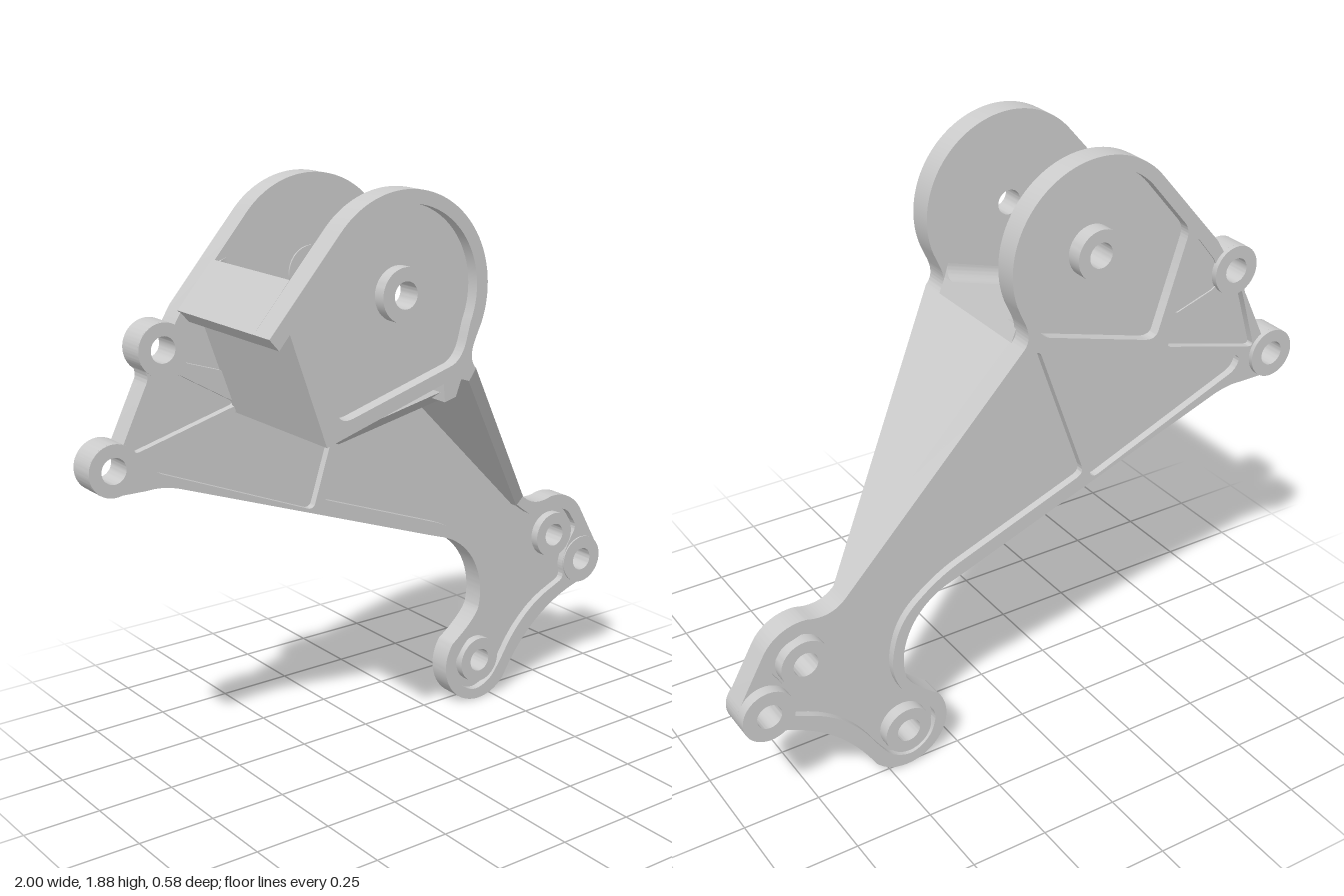
import * as THREE from 'three';
import { toCreasedNormals } from 'three/addons/utils/BufferGeometryUtils.js';

const material = new THREE.MeshStandardMaterial({ color: 0xcccccc });
const BACK = -0.26, FACE = -0.185, EAR_IN = 0.21, EAR_OUT = 0.29;
const EAR = [-0.235, 1.59];
const HOLE = 0.04;

function add(group, name, geometry) {
  const mesh = new THREE.Mesh(toCreasedNormals(geometry, 0.5), material);
  mesh.name = name;
  group.add(mesh);
  return mesh;
}

// Extrude a shape between two z planes
function slab(group, name, shape, z0, z1) {
  const g = new THREE.ExtrudeGeometry(shape, { depth: z1 - z0, bevelEnabled: false, curveSegments: 24 });
  return add(group, name, g.translate(0, 0, z0));
}

// Closed polygon with softened corners: [x, y, cornerLength]
function rounded(points) {
  const s = new THREE.Shape();
  points.forEach(([x, y, r = 0.025], i) => {
    const c = new THREE.Vector2(x, y);
    const toward = ([px, py]) => {
      const d = new THREE.Vector2(px - x, py - y);
      return c.clone().addScaledVector(d, Math.min(r / d.length(), 0.48));
    };
    const a = toward(points.at(i - 1)), b = toward(points[(i + 1) % points.length]);
    if (i === 0) s.moveTo(a.x, a.y); else s.lineTo(a.x, a.y);
    s.quadraticCurveTo(x, y, b.x, b.y);
  });
  s.closePath();
  return s;
}

const polygon = (pts) => new THREE.Shape(pts.map(([x, y]) => new THREE.Vector2(x, y)));
const circle = (x, y, r) => new THREE.Shape().absarc(x, y, r, 0, Math.PI * 2, false);

function withHoles(shape, holes) {
  const s = new THREE.Shape(shape.getPoints(24));
  s.holes.push(...holes);
  return s;
}

// Upright plate along p-q; its profile is given as [distance, z]
function gusset(group, name, p, q, thickness, profile) {
  const d = new THREE.Vector3(q[0] - p[0], q[1] - p[1], 0).normalize();
  const z = new THREE.Vector3(0, 0, 1);
  const g = new THREE.ExtrudeGeometry(polygon(profile), { depth: thickness, bevelEnabled: false });
  const m = new THREE.Matrix4().makeBasis(d, z, d.clone().cross(z)).setPosition(p[0], p[1], 0);
  add(group, name, g.applyMatrix4(m));
}

// Rounded channel lining between the two ears along p-q
function channel(group, name, p, q, r = 0.045) {
  const d = new THREE.Vector3(q[0] - p[0], q[1] - p[1], 0);
  const length = d.length();
  d.normalize();
  const s = new THREE.Shape();
  s.moveTo(-0.01, FACE - 0.005);
  s.lineTo(r, FACE - 0.005);
  s.lineTo(r, FACE);
  s.absarc(r, FACE + r, r, -Math.PI / 2, -Math.PI, true);
  s.lineTo(0, EAR_IN - r);
  s.absarc(r, EAR_IN - r, r, Math.PI, Math.PI / 2, true);
  s.lineTo(r, EAR_IN + 0.005);
  s.lineTo(-0.01, EAR_IN + 0.005);
  const g = new THREE.ExtrudeGeometry(s, { depth: length, bevelEnabled: false, curveSegments: 6 });
  const m = new THREE.Matrix4().makeBasis(new THREE.Vector3(-d.y, d.x, 0), new THREE.Vector3(0, 0, 1), d);
  add(group, name, g.applyMatrix4(m.setPosition(p[0], p[1], 0)));
}

function plateOutline() {
  const s = new THREE.Shape();
  s.absarc(0.91, 0.42, 0.085, -1.1, 0.5, false);
  s.absarc(0.775, 0.54, 0.145, 0.5, 1.7, false);
  s.quadraticCurveTo(0.68, 0.66, 0.63, 0.71);
  s.lineTo(0.02, 1.345);
  s.quadraticCurveTo(-0.01, 1.375, 0.015, 1.43);
  s.absarc(...EAR, 0.295, -0.387, 2.417, false);
  s.lineTo(-0.68, 1.53);
  s.absarc(-0.75, 1.42, 0.08, 1.0, 3.6, false);
  s.quadraticCurveTo(-0.79, 1.35, -0.81, 1.32);
  s.absarc(-0.925, 1.09, 0.08, 1.1, 4.9, false);
  s.lineTo(-0.82, 1.01);
  s.quadraticCurveTo(-0.77, 1.015, -0.71, 0.995);
  s.lineTo(0.22, 0.655);
  s.absarc(0.2, 0.405, 0.243, 1.2, -0.25, true);
  s.quadraticCurveTo(0.415, 0.3, 0.324, 0.237);
  s.absarc(0.44, 0.15, 0.145, 2.5, 5.58, false);
  s.quadraticCurveTo(0.68, 0.28, 0.9, 0.335);
  s.closePath();
  return s;
}

function frontEarOutline() {
  const s = new THREE.Shape();
  s.absarc(...EAR, 0.295, -0.387, 2.417, false);
  [[-0.69, 1.525], [-0.66, 1.49], [-0.625, 1.53], [-0.51, 1.195], [-0.1, 1.315], [-0.095, 1.26],
    [-0.055, 1.27], [-0.035, 1.32], [-0.005, 1.31], [0.02, 1.345]].forEach(([x, y]) => s.lineTo(x, y));
  s.quadraticCurveTo(-0.01, 1.375, 0.015, 1.43);
  s.closePath();
  return s;
}

function earPocket() {
  const s = new THREE.Shape();
  s.moveTo(-0.42, 1.265);
  s.lineTo(-0.07, 1.365);
  s.quadraticCurveTo(-0.03, 1.38, -0.015, 1.44);
  s.absarc(...EAR, 0.255, -0.42, 2.417, false);
  s.lineTo(-0.55, 1.615);
  s.quadraticCurveTo(-0.57, 1.59, -0.56, 1.56);
  s.lineTo(-0.47, 1.28);
  s.quadraticCurveTo(-0.46, 1.255, -0.42, 1.265);
  return s;
}

export function createModel() {
  const model = new THREE.Group();
  model.name = 'bracket';

  // Pockets in the back plate
  const armPocket = rounded([
    [-0.035, 1.335, 0.03], [0, 1.31, 0.02], [0.6, 0.685, 0.05], [0.68, 0.625, 0.04], [0.76, 0.645], [0.84, 0.62],
    [0.885, 0.55], [0.84, 0.48], [0.82, 0.42], [0.83, 0.365], [0.7, 0.31, 0.08], [0.6, 0.22, 0.08],
    [0.53, 0.11, 0.04], [0.49, 0.06, 0.04], [0.42, 0.035, 0.04], [0.35, 0.08, 0.04], [0.33, 0.16, 0.03],
    [0.37, 0.22, 0.03], [0.45, 0.29, 0.05], [0.49, 0.4, 0.08], [0.45, 0.56, 0.08], [0.31, 0.67, 0.08],
    [-0.21, 0.865, 0.03]]);
  const middlePocket = rounded([[-0.075, 1.335], [-0.81, 1.105], [-0.79, 1.06], [-0.24, 0.835]]);
  const upperPocket = rounded([[-0.68, 1.46], [-0.595, 1.565], [-0.525, 1.32], [-0.69, 1.375]]);
  const lowerPocket = rounded([[-0.79, 1.345], [-0.71, 1.345], [-0.5, 1.22], [-0.86, 1.125]]);
  const rearEarPocket = earPocket();

  // Bosses: x, y, radius, back z
  const edgeBosses = [[-0.925, 1.09, 0.08, -0.275], [-0.75, 1.42, 0.08, -0.275], [0.91, 0.42, 0.085, -0.295]];
  const innerBosses = [[0.775, 0.54, 0.08, -0.275], [0.44, 0.15, 0.08, -0.275], [...EAR, 0.08, -0.275]];
  const bore = ([x, y]) => circle(x, y, HOLE);
  [...edgeBosses, ...innerBosses].forEach((b) => {
    slab(model, 'boss', withHoles(circle(b[0], b[1], b[2]), [bore(b)]), b[3], FACE + 0.005);
  });

  // Back plate: full-depth rim and ribs, thin webs inside the pockets
  const pockets = [armPocket, middlePocket, upperPocket, lowerPocket, rearEarPocket];
  slab(model, 'plateRim', withHoles(plateOutline(), [...pockets, ...edgeBosses.map(bore)]), BACK, FACE);
  slab(model, 'armWeb', withHoles(armPocket, innerBosses.slice(0, 2).map(bore)), -0.235, -0.21);
  slab(model, 'middleWeb', middlePocket, -0.235, -0.21);
  slab(model, 'upperWeb', upperPocket, -0.255, -0.21);
  slab(model, 'lowerWeb', lowerPocket, -0.235, -0.21);
  slab(model, 'rearEarWeb', withHoles(rearEarPocket, [circle(...EAR, HOLE)]), -0.225, FACE);

  // Front ear with a pocket and a flush boss
  const pocket = earPocket();
  slab(model, 'frontEarRim', withHoles(frontEarOutline(), [pocket]), EAR_IN, EAR_OUT);
  slab(model, 'frontEarWeb', withHoles(pocket, [circle(...EAR, HOLE)]), EAR_IN, 0.25);
  slab(model, 'frontEarBoss', withHoles(circle(...EAR, 0.08), [circle(...EAR, HOLE)]), EAR_IN, EAR_OUT);

  // Side wall and floor joining the ears, with rounded inner corners
  slab(model, 'earBridge', polygon([[-0.57, 1.66], [-0.69, 1.525], [-0.66, 1.49], [-0.625, 1.53],
    [-0.51, 1.195], [-0.05, 1.325], [0.02, 1.345], [0, 1.395], [-0.46, 1.26]]), FACE - 0.01, EAR_IN);
  channel(model, 'wallLining', [-0.57, 1.65], [-0.46, 1.26]);
  channel(model, 'floorLining', [-0.46, 1.26], [0, 1.395]);

  // Tapering flange down the arm and the cross rib below the floor
  gusset(model, 'armFlange', [0.02, 1.345], [0.63, 0.71], 0.042,
    [[0, -0.22], [0.88, -0.22], [0.88, FACE], [0, EAR_OUT]]);
  gusset(model, 'crossRib', [-0.04, 1.325], [-0.2, 0.86], 0.042,
    [[0, -0.22], [0.31, -0.22], [0.31, FACE], [0.05, EAR_OUT - 0.01], [0, EAR_OUT - 0.01]]);

  return model;
}
